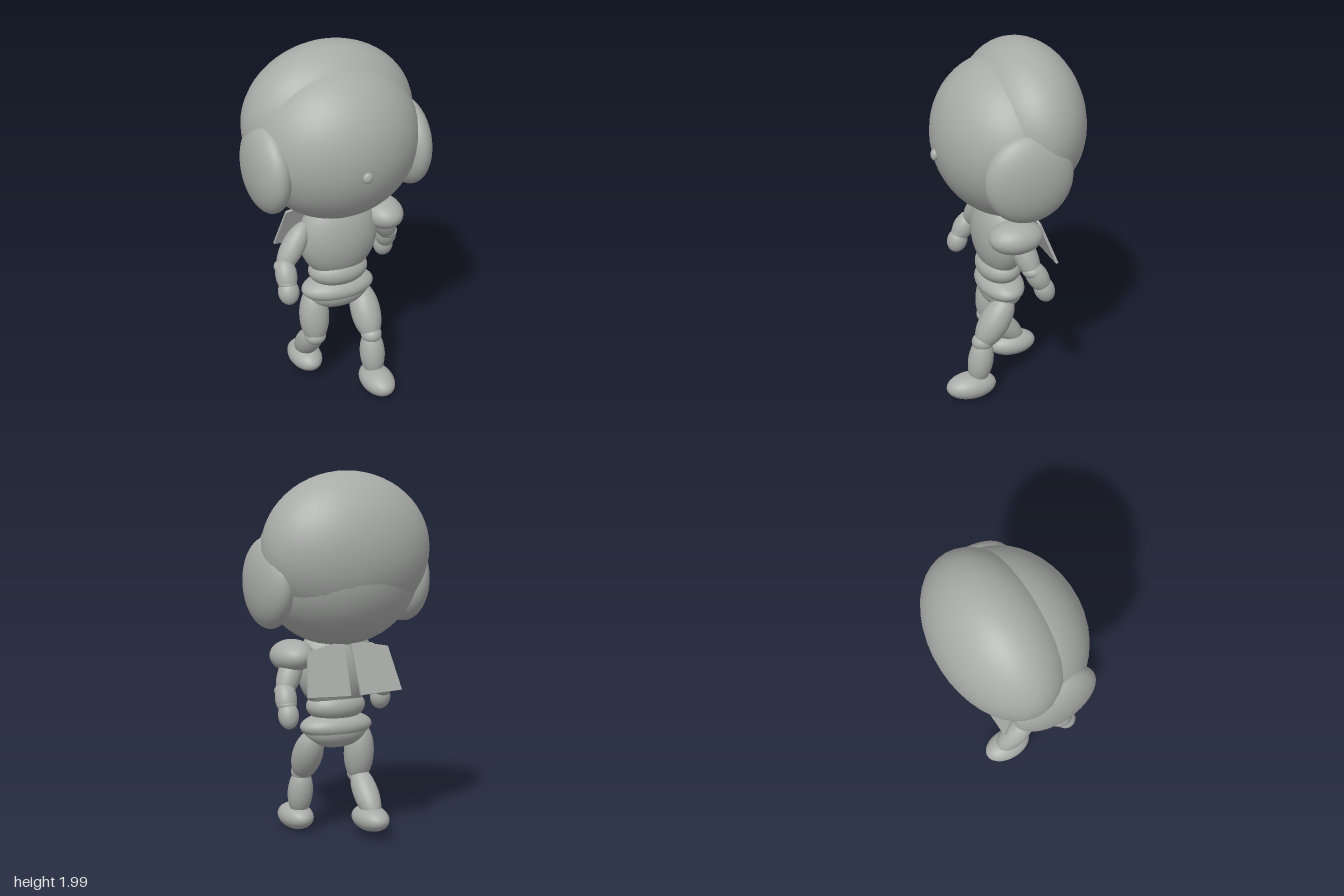
import * as THREE from 'three';

export function createModel() {
  const root = new THREE.Group();
  const grey = new THREE.MeshStandardMaterial({ color: 0xa9aba9 });
  grey.name = 'plain grey';
  const ball = new THREE.SphereGeometry(1, 40, 28);
  const up = new THREE.Vector3(0, 1, 0);

  function ellipsoid(name, pos, radii, parent = root) {
    const mesh = new THREE.Mesh(ball, grey);
    mesh.name = name;
    mesh.position.set(...pos);
    mesh.scale.set(...radii);
    parent.add(mesh);
    return mesh;
  }

  // Long rounded segment whose tips lie at a and b
  function limb(name, a, b, radius, parent) {
    const from = new THREE.Vector3(...a), to = new THREE.Vector3(...b);
    const dir = to.clone().sub(from);
    const mid = from.clone().add(to).multiplyScalar(0.5);
    const mesh = ellipsoid(name, mid.toArray(), [radius, dir.length() / 2, radius], parent);
    mesh.quaternion.setFromUnitVectors(up, dir.normalize());
    return mesh;
  }

  function group(name) {
    const g = new THREE.Group();
    g.name = name;
    root.add(g);
    return g;
  }

  // Head with its rear dome, nose and round side discs
  const head = group('head');
  ellipsoid('face', [0, 1.5, 0], [0.455, 0.43, 0.385], head);
  ellipsoid('rearDome', [0, 1.59, -0.09], [0.475, 0.41, 0.315], head);
  ellipsoid('nose', [0, 1.44, 0.385], [0.027, 0.031, 0.02], head);
  for (const side of [-1, 1]) {
    ellipsoid(side > 0 ? 'leftEar' : 'rightEar', [side * 0.4, 1.42, 0.02], [0.11, 0.242, 0.237], head);
  }

  // Body
  const body = group('body');
  ellipsoid('chest', [0, 0.95, 0.035], [0.225, 0.25, 0.14], body);
  ellipsoid('belly', [0, 0.735, 0.035], [0.17, 0.09, 0.122], body);
  ellipsoid('hipBand', [0, 0.625, 0.03], [0.21, 0.076, 0.125], body);
  ellipsoid('pelvis', [0, 0.6, 0.03], [0.185, 0.098, 0.115], body);

  // Right arm swings forward
  const rightArm = group('rightArm');
  limb('upperArm', [-0.19, 1.06, 0.035], [-0.36, 0.82, 0.08], 0.063, rightArm);
  ellipsoid('elbow', [-0.338, 0.852, 0.085], [0.056, 0.04, 0.055], rightArm);
  limb('forearm', [-0.335, 0.9, 0.07], [-0.345, 0.73, 0.16], 0.058, rightArm);
  ellipsoid('wrist', [-0.342, 0.785, 0.135], [0.052, 0.035, 0.05], rightArm);
  limb('hand', [-0.342, 0.8, 0.13], [-0.345, 0.665, 0.175], 0.057, rightArm);

  // Left arm swings back, with a shoulder pad
  const leftArm = group('leftArm');
  ellipsoid('shoulderPad', [0.262, 1.025, 0.035], [0.112, 0.086, 0.148], leftArm).rotation.z = -0.08;
  limb('upperArm', [0.23, 1.06, 0.035], [0.355, 0.81, -0.04], 0.064, leftArm);
  ellipsoid('elbow', [0.335, 0.85, -0.03], [0.056, 0.04, 0.056], leftArm);
  limb('forearm', [0.33, 0.9, -0.01], [0.35, 0.73, -0.1], 0.058, leftArm);
  ellipsoid('wrist', [0.343, 0.785, -0.075], [0.052, 0.035, 0.05], leftArm);
  limb('hand', [0.342, 0.8, -0.07], [0.346, 0.66, -0.12], 0.055, leftArm);

  // Right leg trails behind
  const rightLeg = group('rightLeg');
  limb('thigh', [-0.14, 0.63, 0.01], [-0.143, 0.29, 0.05], 0.083, rightLeg);
  ellipsoid('knee', [-0.145, 0.335, 0.05], [0.06, 0.05, 0.06], rightLeg);
  limb('shin', [-0.145, 0.37, 0.07], [-0.145, 0.12, -0.16], 0.07, rightLeg);
  ellipsoid('foot', [-0.145, 0.115, -0.1], [0.09, 0.07, 0.142], rightLeg);

  // Left leg steps forward
  const leftLeg = group('leftLeg');
  limb('thigh', [0.135, 0.6, 0.02], [0.138, 0.315, 0.195], 0.083, leftLeg);
  ellipsoid('knee', [0.138, 0.345, 0.18], [0.058, 0.05, 0.06], leftLeg);
  limb('shin', [0.138, 0.37, 0.17], [0.142, 0.09, 0.215], 0.07, leftLeg);
  ellipsoid('foot', [0.142, 0.08, 0.25], [0.09, 0.072, 0.142], leftLeg);

  // Pair of thin slanted plates on the back
  for (const side of [-1, 1]) {
    const corners = [[0.02, 0], [0.24, -0.045], [0.28, -0.29], [0.03, -0.3]];
    const shape = new THREE.Shape(corners.map(([x, y]) => new THREE.Vector2(side * x, y)));
    const geometry = new THREE.ExtrudeGeometry(shape, { depth: 0.014, bevelEnabled: false });
    const plate = new THREE.Mesh(geometry, grey);
    plate.name = side > 0 ? 'leftBackPlate' : 'rightBackPlate';
    plate.position.set(0, 1.105, -0.1);
    plate.rotation.x = 0.36;
    root.add(plate);
  }

  return root;
}
